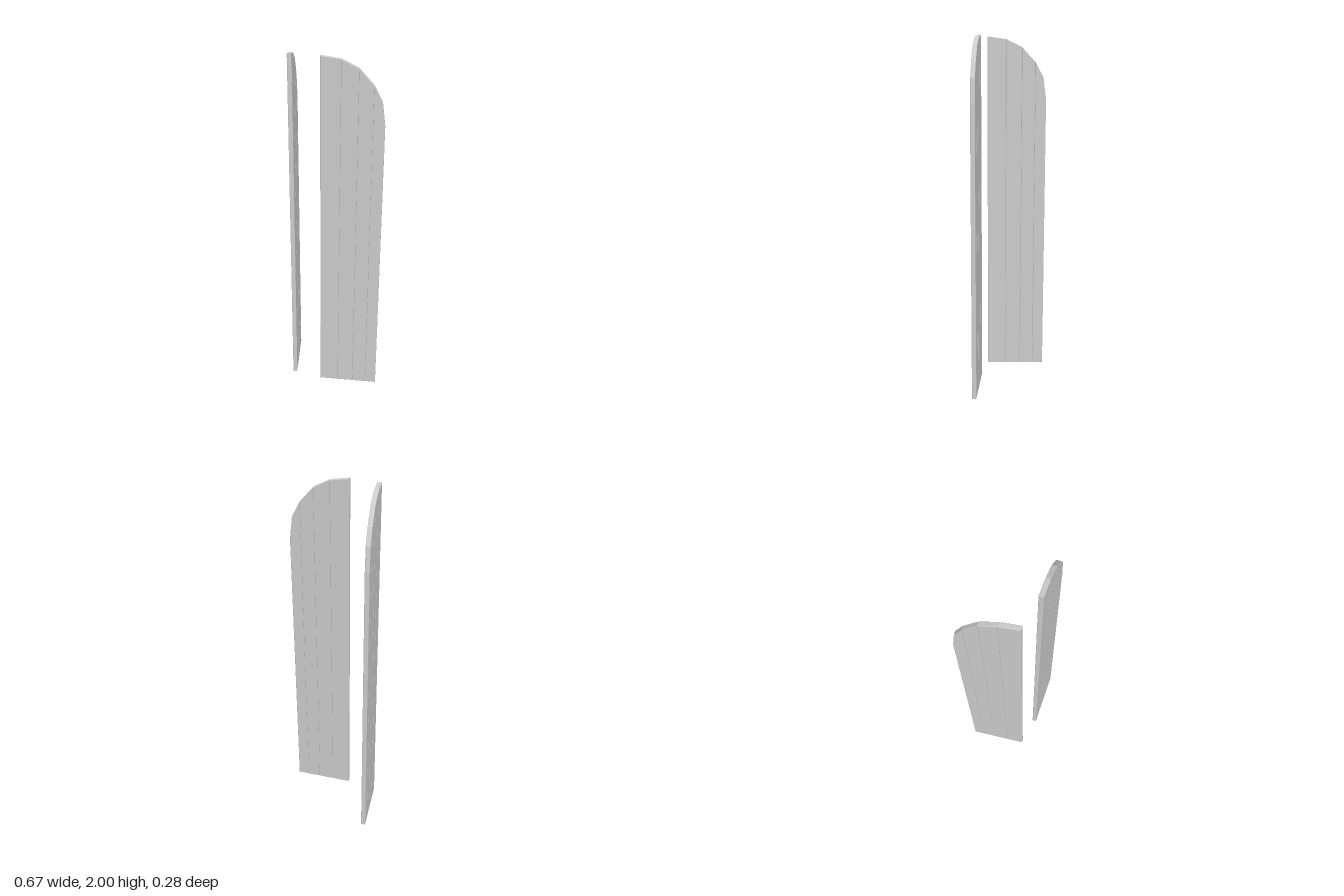
import * as THREE from 'three';

const THICKNESS = 0.025;
const BEVEL = 0.0025;

// Outline of each plank's top as [fraction of panel width from the inner edge, height]
const plankTops = [
  [[0, 2], [0.315, 1.985]],
  [[0.315, 1.985], [0.585, 1.94]],
  [[0.585, 1.94], [0.815, 1.855]],
  [[0.815, 1.855], [0.95, 1.77], [1, 1.64]],
];

// One shutter leaf of four bevelled planks, running from its inner to its outer edge
function createPanel(name, material, inner, outer) {
  const panel = new THREE.Group();
  panel.name = name;
  const dx = outer[0] - inner[0];
  const dz = outer[1] - inner[1];
  const width = Math.hypot(dx, dz);

  plankTops.forEach((top, i) => {
    const points = top.map(([u, y]) => new THREE.Vector2(u * width, y));
    const first = points[0].x;
    const last = points[points.length - 1].x;
    const shape = new THREE.Shape([
      new THREE.Vector2(first, 0),
      new THREE.Vector2(last, 0),
      ...points.reverse(),
    ]);
    const geometry = new THREE.ExtrudeGeometry(shape, {
      depth: THICKNESS - 2 * BEVEL,
      bevelEnabled: true,
      bevelThickness: BEVEL,
      bevelSize: BEVEL,
      bevelOffset: -BEVEL,
      bevelSegments: 1,
    });
    geometry.translate(0, 0, BEVEL - THICKNESS / 2);
    const plank = new THREE.Mesh(geometry, material);
    plank.name = `${name}Plank${i + 1}`;
    panel.add(plank);
  });

  panel.position.set(inner[0], 0, inner[1]);
  panel.rotation.y = Math.atan2(-dz, dx);
  return panel;
}

export function createModel() {
  const model = new THREE.Group();
  model.name = 'shutters';
  const material = new THREE.MeshStandardMaterial({ color: 0xcccccc, flatShading: true });

  // The two leaves stand open at different angles
  model.add(createPanel('leftShutter', material, [0.048, 0.063], [0.329, -0.133]));
  model.add(createPanel('rightShutter', material, [-0.108, 0.132], [-0.328, -0.13]));
  return model;
}
